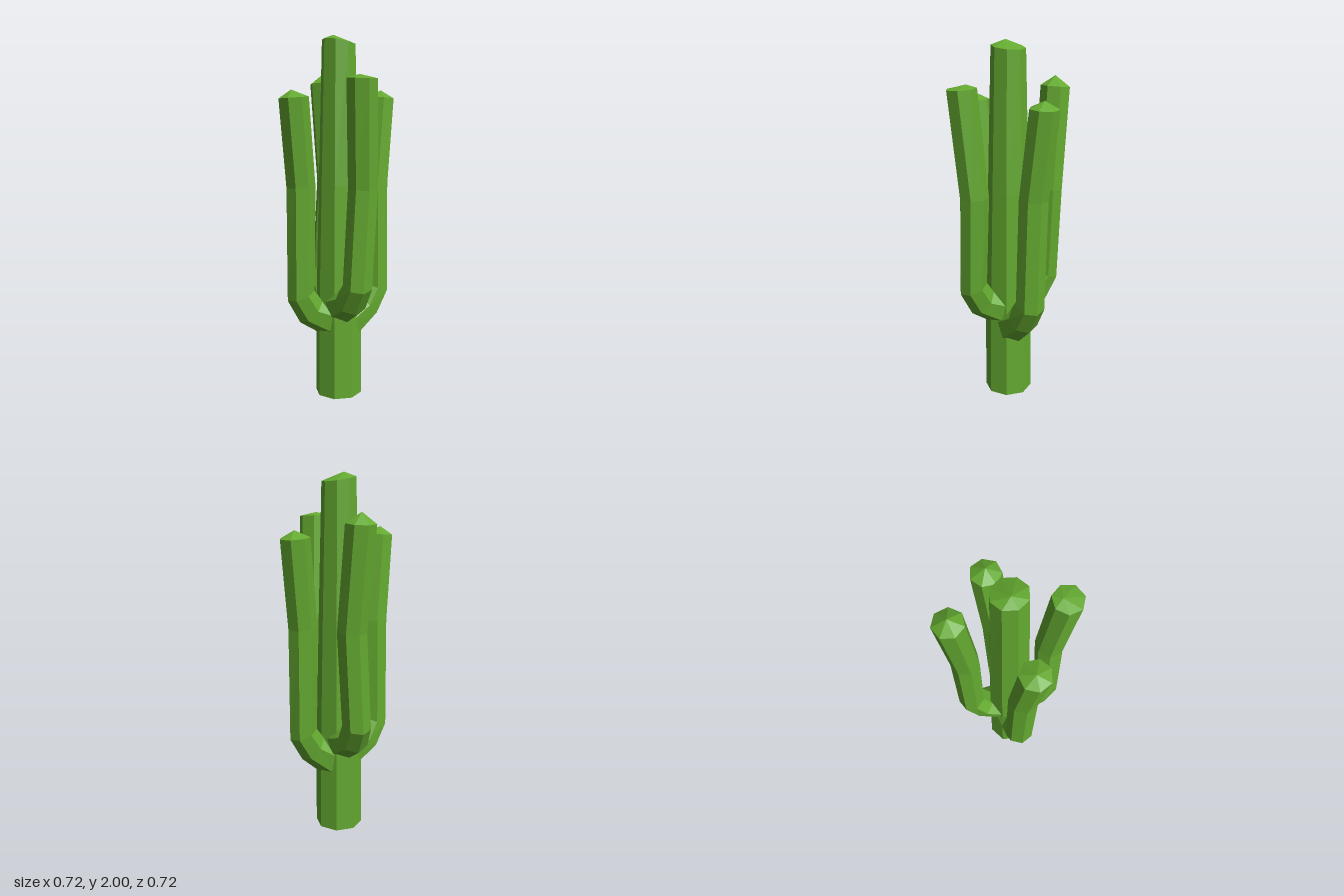
import * as THREE from 'three';

const green = new THREE.MeshStandardMaterial({ color: 0x64aa30, flatShading: true });
green.name = 'cactus green';

const UP = new THREE.Vector3(0, 1, 0);

// Lofts rings along a path that lies in the plane of `out` and up.
// Each section: [distance outward, height, sideways offset, radius, axis angle above horizontal].
// The stem is closed by a flat base and a low pointed tip [outward, height, sideways].
function stem(name, out, sections, tip, sides, phase) {
  const side = new THREE.Vector3().crossVectors(out, UP);
  const at = (d, y, w) => new THREE.Vector3(0, y, 0).addScaledVector(out, d).addScaledVector(side, w);
  const rings = sections.map(([d, y, w, r, angle]) => {
    const t = THREE.MathUtils.degToRad(angle);
    const u = out.clone().multiplyScalar(-Math.sin(t)).addScaledVector(UP, Math.cos(t));
    return Array.from({ length: sides }, (_, j) => {
      const a = ((j + phase) / sides) * Math.PI * 2;
      return at(d, y, w).addScaledVector(u, r * Math.cos(a)).addScaledVector(side, r * Math.sin(a));
    });
  });
  const points = [];
  const base = at(...sections[0].slice(0, 3));
  const end = at(...tip);
  for (let j = 0; j < sides; j++) {
    const k = (j + 1) % sides;
    points.push(base, rings[0][k], rings[0][j]);
    for (let i = 0; i < rings.length - 1; i++) {
      const [p, q] = [rings[i], rings[i + 1]];
      points.push(p[j], p[k], q[k], p[j], q[k], q[j]);
    }
    const last = rings[rings.length - 1];
    points.push(last[j], last[k], end);
  }
  const geometry = new THREE.BufferGeometry().setFromPoints(points);
  geometry.computeVertexNormals();
  const mesh = new THREE.Mesh(geometry, green);
  mesh.name = name;
  return mesh;
}

// An arm leaves the trunk, bends upward and leans out; lift raises the elbow.
function arm(name, out, { lift, root, top, mid, lean, tip }) {
  return stem(name, out, [
    [0.05, root, 0, 0.11, 35],
    [0.17, 0.5 + lift, 0, 0.088, 45],
    [0.23, 0.6 + lift, mid * 0.3, 0.081, 70],
    [0.23, 1.2, mid, 0.08, 88],
    [0.278, top, lean, 0.081, 86],
  ], tip, 7, 0.5);
}

export function createModel() {
  const group = new THREE.Group();
  group.name = 'cactus';

  // Trunk with a slightly slanted top
  group.add(stem('trunk', new THREE.Vector3(1, 0, 0), [
    [0, 0, 0, 0.133, 90],
    [0, 0.45, 0, 0.13, 90],
    [0, 1.2, 0, 0.112, 90],
    [0, 1.965, 0, 0.092, 81],
  ], [-0.03, 2, 0], 8, 0.25));

  // Four arms
  group.add(
    arm('leftArm', new THREE.Vector3(1, 0, 0),
      { lift: 0, root: 0.42, top: 1.675, mid: -0.02, lean: -0.05, tip: [0.28, 1.715, -0.05] }),
    arm('rightArm', new THREE.Vector3(-1, 0, 0),
      { lift: 0, root: 0.45, top: 1.67, mid: -0.02, lean: -0.055, tip: [0.29, 1.71, -0.055] }),
    arm('frontArm', new THREE.Vector3(0, 0, 1),
      { lift: 0.08, root: 0.53, top: 1.765, mid: -0.04, lean: -0.01, tip: [0.25, 1.785, -0.01] }),
    arm('backArm', new THREE.Vector3(0, 0, -1),
      { lift: 0.08, root: 0.53, top: 1.755, mid: 0.045, lean: 0.025, tip: [0.28, 1.81, 0.02] }),
  );
  return group;
}
